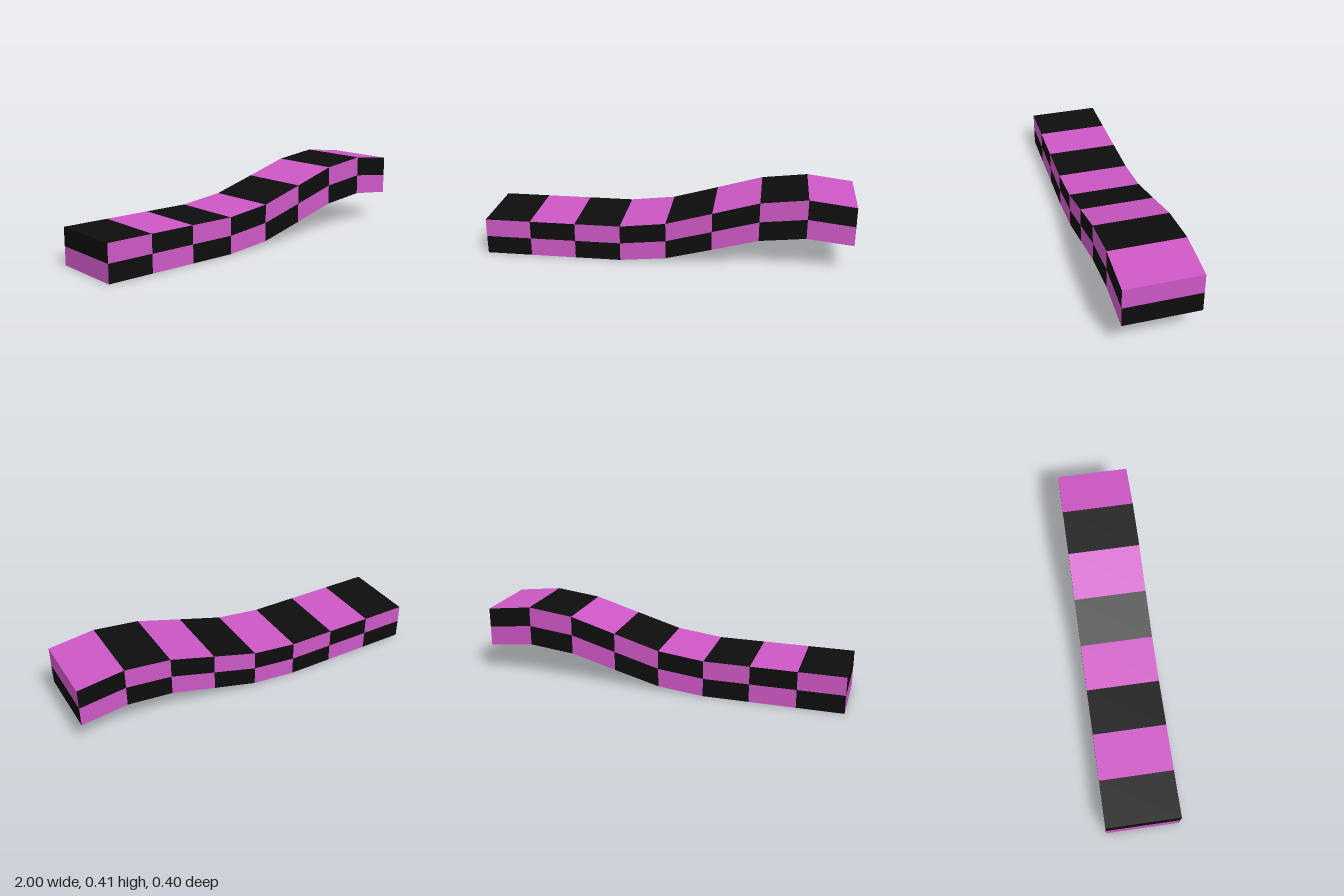
import * as THREE from 'three';

// Height of the underside and of the upper surface at each of the nine cross-sections
const BOTTOM = [0, 0, 0, 0, 0.026, 0.092, 0.16, 0.187, 0.16];
const TOP = [0.2, 0.2, 0.2, 0.2, 0.23, 0.302, 0.375, 0.405, 0.375];
const COLUMNS = 8;
const ROWS = 2;

export function createModel() {
  const group = new THREE.Group();
  group.name = 'checkeredRamp';

  // One unit per checker cell, with the corner at the origin
  const block = new THREE.BoxGeometry(COLUMNS, ROWS, 0.4, COLUMNS, ROWS, 1);
  block.translate(COLUMNS / 2, ROWS / 2, 0);
  const pos = block.attributes.position;
  const nor = block.attributes.normal;
  const index = block.index.array;

  // Sort the quads into two colours, stepping half a cell outwards so that
  // the top, underside and ends carry on the checker pattern
  const cells = [[], []];
  for (let q = 0; q < index.length; q += 6) {
    const quad = Array.from(index.slice(q, q + 6));
    const n = quad[0];
    const mid = (get) => (Math.min(...quad.map(get)) + Math.max(...quad.map(get))) / 2;
    const column = Math.floor(mid((k) => pos.getX(k)) + nor.getX(n) * 0.5);
    const row = Math.floor(mid((k) => pos.getY(k)) + nor.getY(n) * 0.5);
    cells[Math.abs(column + row) % 2].push(...quad);
  }

  // Bend the block along the height profile
  for (let k = 0; k < pos.count; k++) {
    const column = Math.round(pos.getX(k));
    const y = THREE.MathUtils.lerp(BOTTOM[column], TOP[column], pos.getY(k) / ROWS);
    pos.setXY(k, -1 + column * (2 / COLUMNS), y);
  }

  // One mesh per checker colour
  const addCells = (name, color, indices) => {
    const indexed = block.clone();
    indexed.setIndex(indices);
    const geometry = indexed.toNonIndexed();
    geometry.clearGroups();
    geometry.computeVertexNormals();
    const material = new THREE.MeshStandardMaterial({ color, flatShading: true });
    const mesh = new THREE.Mesh(geometry, material);
    mesh.name = name;
    group.add(mesh);
  };
  addCells('blackCells', 0x0d0d0d, cells[0]);
  addCells('pinkCells', 0xcc57c4, cells[1]);

  return group;
}
